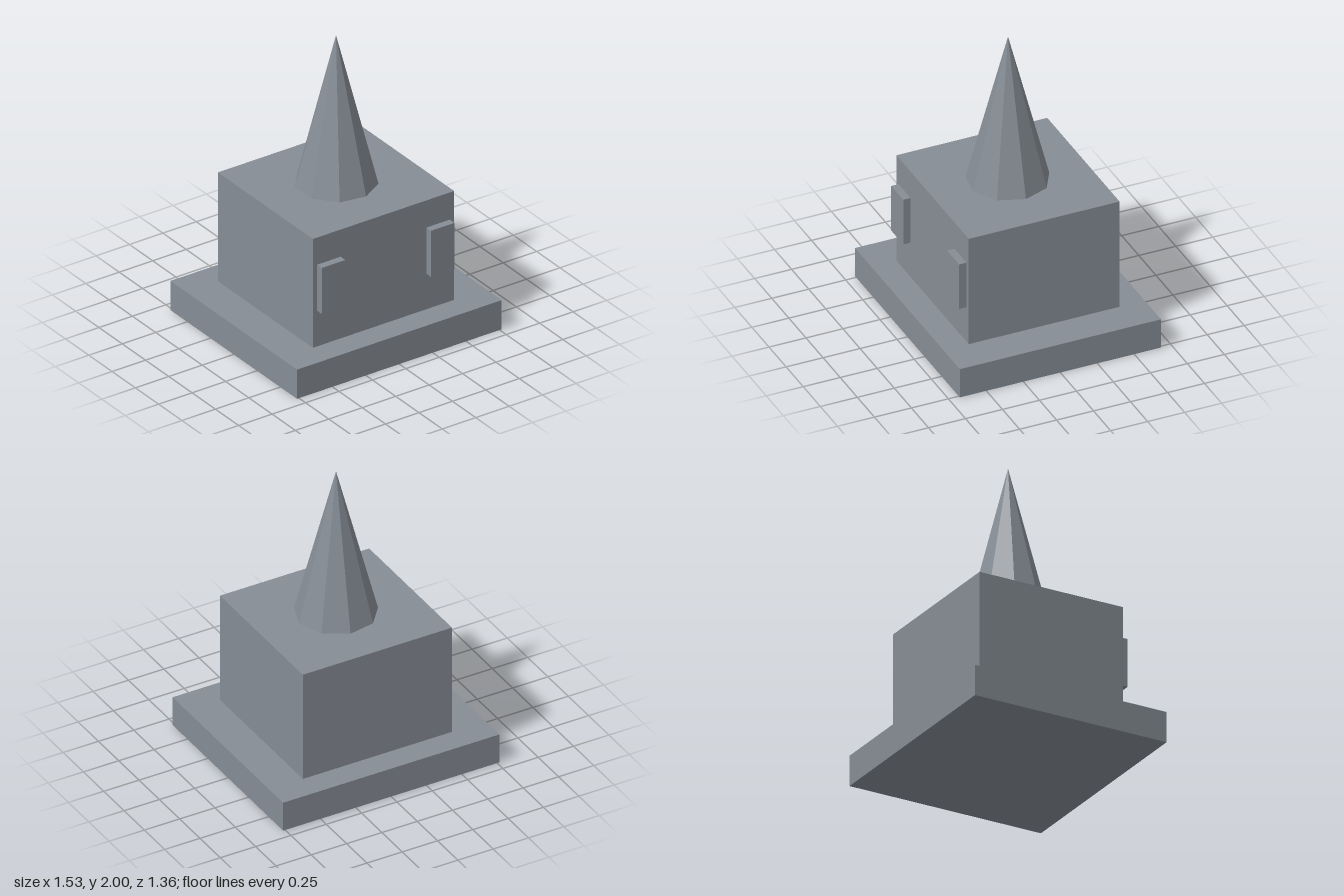
import * as THREE from 'three';

export function createModel() {
  const model = new THREE.Group();
  model.name = 'spiredBuilding';

  const stone = new THREE.MeshStandardMaterial({ color: 0x868d95 });
  stone.name = 'slate grey';
  stone.flatShading = true;

  function add(name, geometry, x, y, z) {
    const mesh = new THREE.Mesh(geometry, stone);
    mesh.name = name;
    mesh.position.set(x, y, z);
    model.add(mesh);
  }

  // Block whose position is given by the middle of its underside
  function block(name, width, height, depth, x, bottom, z) {
    add(name, new THREE.BoxGeometry(width, height, depth), x, bottom + height / 2, z);
  }

  // Plinth and main building
  block('plinth', 1.53, 0.205, 1.36, 0, 0, 0);
  block('building', 1.056, 0.765, 1.02, 0, 0.205, 0);

  // Two raised window panels on the front wall
  for (const [name, side] of [['leftWindow', 1], ['rightWindow', -1]]) {
    block(name, 0.176, 0.324, 0.05, side * 0.408, 0.455, 0.535);
  }

  // Nine-sided spire with one ridge facing +x
  const spireBottom = 0.97;
  const spireHeight = 2 - spireBottom;
  add(
    'spire',
    new THREE.ConeGeometry(0.262, spireHeight, 9, 1, false, Math.PI / 2),
    0, spireBottom + spireHeight / 2, 0
  );

  return model;
}
